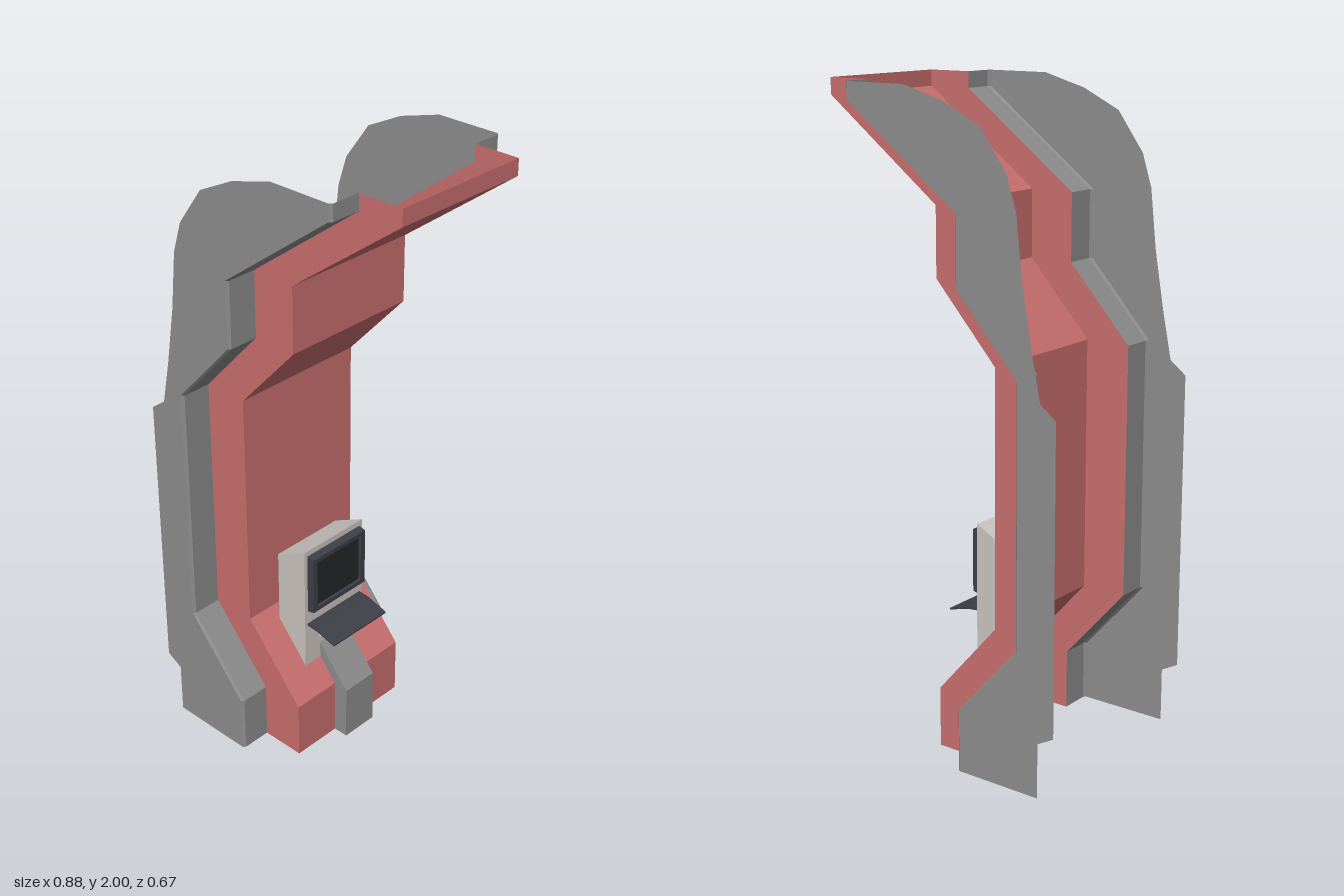
import * as THREE from 'three';

const paint = (color) => new THREE.MeshStandardMaterial({ color, flatShading: true, side: THREE.DoubleSide });

// Shared side profile (x, y) of the folded front
const FRONT = [[0.05, 0], [0.05, 0.19], [-0.16, 0.43], [-0.16, 1.22], [0.05, 1.45], [0.05, 1.66], [0.44, 1.95], [0.44, 2]];
const shift = (dx) => FRONT.map(([x, y]) => [x + dx, y]);

// Sheet stretched between two profiles lying at different depths
function ribbon(a, za, b, zb) {
  const pos = [], idx = [];
  a.forEach(([x, y], i) => {
    pos.push(x, y, za, b[i][0], b[i][1], zb);
    if (i) {
      const k = 2 * i - 2;
      idx.push(k, k + 1, k + 2, k + 1, k + 3, k + 2);
    }
  });
  const g = new THREE.BufferGeometry();
  g.setAttribute('position', new THREE.Float32BufferAttribute(pos, 3));
  g.setIndex(idx);
  const flat = g.toNonIndexed();
  flat.computeVertexNormals();
  return flat;
}

const shapeOf = (pts) => new THREE.Shape(pts.map(([x, y]) => new THREE.Vector2(x, y)));

// Solid with an xy outline between two depths
function slab(pts, z0, z1) {
  const g = new THREE.ExtrudeGeometry(shapeOf(pts), { depth: z1 - z0, bevelEnabled: false });
  g.translate(0, 0, z0);
  return g;
}

export function createModel() {
  const model = new THREE.Group();
  const red = paint(0xc96e6e), grey = paint(0x8c8c8c), cream = paint(0xcac3be);
  const dark = paint(0x3c3f46), black = paint(0x242628);
  const add = (name, geometry, material, parent = model) => {
    const m = new THREE.Mesh(geometry, material);
    m.name = name;
    parent.add(m);
    return m;
  };

  // Folded red front, open at the back
  const strip = shift(-0.147), rim = shift(-0.155);
  add('frontPanel', ribbon(FRONT, 0.23, FRONT, -0.23), red);

  // Side walls, grey trim strips and outer side panels
  const back = [[0.077, 2], [-0.066, 1.96], [-0.19, 1.9], [-0.278, 1.78], [-0.31, 1.68], [-0.33, 1.5],
    [-0.362, 1.315], [-0.392, 1.17], [-0.445, 1.13], [-0.445, 0.2], [-0.39, 0.17], [-0.39, 0]];
  for (const s of [1, -1]) {
    const side = s > 0 ? 'left' : 'right';
    add(side + 'InnerWall', ribbon(FRONT, 0.23 * s, strip, 0.23 * s), red);
    add(side + 'TrimStrip', ribbon(strip, 0.23 * s, strip, 0.325 * s), grey);
    add(side + 'TrimBevel', ribbon(strip, 0.325 * s, rim, 0.333 * s), grey);
    const panel = new THREE.ShapeGeometry(shapeOf([...rim, ...back]));
    panel.translate(0, 0, 0.333 * s);
    add(side + 'SidePanel', panel, grey);
  }

  // Terminal housing, with a slot in the middle of its face
  const terminal = new THREE.Group();
  terminal.name = 'terminal';
  model.add(terminal);
  const face = -0.015;
  const full = [[-0.13, 0.396], [face, 0.264], [face, 0.7], [-0.13, 0.642]];
  const slotted = [[-0.13, 0.396], [face, 0.264], [face, 0.345], [-0.045, 0.355], [-0.045, 0.385],
    [face, 0.398], [face, 0.7], [-0.13, 0.642]];
  add('housingLeft', slab(full, 0.065, 0.13), cream, terminal);
  add('housingMiddle', slab(slotted, -0.065, 0.065), cream, terminal);
  add('housingRight', slab(full, -0.13, -0.065), cream, terminal);

  // Screen: tapered bezel around a recessed display
  const rect = (w, h) => [[-w, -h], [w, -h], [w, h], [-w, h]];
  const bezelShape = shapeOf(rect(0.117, 0.104));
  bezelShape.holes.push(new THREE.Path(rect(0.098, 0.084).reverse().map(([x, y]) => new THREE.Vector2(x, y))));
  const bezel = new THREE.ExtrudeGeometry(bezelShape, { depth: 0.025, bevelEnabled: false });
  bezel.rotateY(Math.PI / 2);
  bezel.translate(face, 0.577, 0);
  const p = bezel.attributes.position;
  for (let i = 0; i < p.count; i++) {
    if (p.getX(i) > 0 && Math.abs(p.getZ(i)) > 0.11) {
      p.setY(i, 0.577 + (p.getY(i) - 0.577) * 0.95);
    }
  }
  bezel.computeVertexNormals();
  add('screenBezel', bezel, dark, terminal);
  const display = new THREE.BoxGeometry(0.015, 0.17, 0.198);
  display.translate(face + 0.0075, 0.577, 0);
  add('screenDisplay', display, black, terminal);

  // Thin keyboard shelf, sloping forward
  add('keyboard', slab([[face, 0.42], [0.025, 0.417], [0.1, 0.397], [0.1, 0.402], [0.025, 0.423], [face, 0.426]],
    -0.12, 0.12), dark, terminal);

  // Grey post climbing the foot of the front panel
  add('post', slab([[0.04, 0], [0.1, 0], [0.1, 0.185], [-0.036, 0.345], [-0.06, 0.32], [0.04, 0.19]],
    -0.063, 0.063), grey, terminal);

  return model;
}
